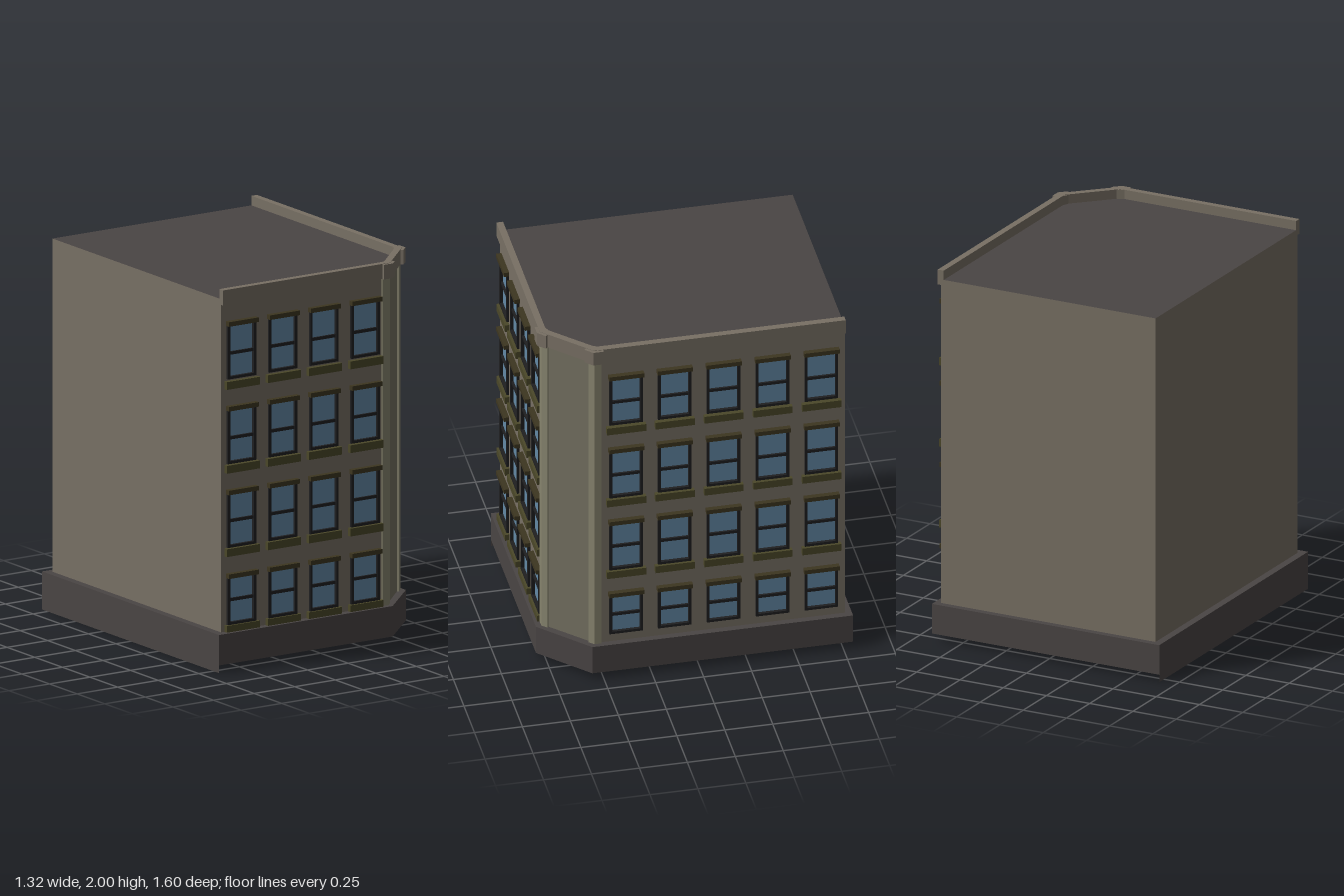
import * as THREE from 'three';

const mat = (name, color) => {
  const m = new THREE.MeshStandardMaterial({ color, side: THREE.DoubleSide });
  m.name = name;
  return m;
};

export function createModel() {
  const wallMat = mat('stone wall', 0x787064);
  const cornerMat = mat('corner panel', 0x737060);
  const trimMat = mat('pale trim', 0x88856f);
  const darkMat = mat('dark base and roof', 0x4a4544);
  const frameMat = mat('window frame', 0x1f1f20);
  const sillMat = mat('olive sill', 0x4b4829);
  const lintelMat = mat('brown lintel', 0x3d3620);
  const glassMat = mat('glass', 0x6389a6);

  const model = new THREE.Group();
  model.name = 'cornerBuilding';

  const add = (parent, name, geo, material) => {
    const mesh = new THREE.Mesh(geo, material);
    mesh.name = name;
    parent.add(mesh);
    return mesh;
  };

  // Plan helpers: points are [x, z]
  const planShape = pts => new THREE.Shape(pts.map(([x, z]) => new THREE.Vector2(x, -z)));
  const slab = (shape, y) => new THREE.ShapeGeometry(shape).rotateX(-Math.PI / 2).translate(0, y, 0);
  const prism = (pts, y0, y1) =>
    new THREE.ExtrudeGeometry(planShape(pts), { depth: y1 - y0, bevelEnabled: false })
      .rotateX(-Math.PI / 2).translate(0, y0, 0);
  // Upright sheet between two plan points
  const sheet = ([x0, z0], [x1, z1], y0, y1) => {
    const g = new THREE.PlaneGeometry(Math.hypot(x1 - x0, z1 - z0), y1 - y0);
    g.rotateY(Math.atan2(-(z1 - z0), x1 - x0));
    return g.translate((x0 + x1) / 2, (y0 + y1) / 2, (z0 + z1) / 2);
  };
  const rect = (Type, x0, y0, x1, y1) => {
    const p = new Type();
    p.moveTo(x0, y0);
    p.lineTo(x1, y0);
    p.lineTo(x1, y1);
    p.lineTo(x0, y1);
    p.closePath();
    return p;
  };

  const L = -0.62, R = 0.62, F = 0.76, B = -0.765, ROOF = 1.95, BASE = 0.2;
  const plan = [[L, F], [0.4, F], [R, 0.54], [R, B], [L, B]];
  const basePlan = [[-0.66, 0.8], [0.41, 0.8], [0.655, 0.56], [0.655, -0.8], [-0.66, -0.8]];

  // Base skirt, open below; the left side reaches lower
  basePlan.forEach((p, i) => {
    const q = basePlan[(i + 1) % 5];
    add(model, 'baseSide', sheet(p, q, i === 4 ? 0 : 0.04, BASE), darkMat);
  });
  const ledge = planShape(basePlan);
  ledge.holes.push(planShape(plan));
  add(model, 'baseLedge', slab(ledge, BASE), darkMat);

  // Plain walls, angled corner and roof
  add(model, 'cornerWall', sheet(plan[1], plan[2], BASE, ROOF), cornerMat);
  add(model, 'backWall', sheet(plan[3], plan[4], BASE, ROOF), wallMat);
  add(model, 'leftWall', sheet(plan[4], plan[0], BASE, ROOF), wallMat);
  add(model, 'roof', slab(planShape(plan), ROOF), darkMat);

  // Window rows: glass bottom, mid rail, top of lintel, sill bottom, sill top
  const rows = [
    [0.24, 0.365, 0.505, 0.2, 0.235],
    [0.645, 0.78, 0.945, 0.597, 0.638],
    [1.085, 1.215, 1.385, 1.035, 1.076],
    [1.53, 1.66, 1.83, 1.475, 1.516],
  ];

  // A wall facing local +z, pierced by windows
  const windowWall = (name, x0, x1, columns, groundSill) => {
    const group = new THREE.Group();
    group.name = name;
    const wall = rect(THREE.Shape, x0, BASE, x1, ROOF);
    const box = (part, x, ya, yb, w, z0, z1, material) =>
      add(group, part, new THREE.BoxGeometry(w, yb - ya, z1 - z0)
        .translate(x, (ya + yb) / 2, (z0 + z1) / 2), material);
    for (const x of columns) {
      rows.forEach(([bottom, mid, top, s0, s1], r) => {
        const sill = r > 0 || groundSill;
        const y0 = sill ? bottom - 0.005 : 0.25, y1 = top - 0.012, h = 0.087;
        wall.holes.push(rect(THREE.Path, x - h + 0.004, y0 + 0.004, x + h - 0.004, y1 - 0.004));
        // Frame with its opening
        const frame = rect(THREE.Shape, x - h, y0, x + h, y1);
        frame.holes.push(rect(THREE.Path, x - h + 0.014, y0 + 0.014, x + h - 0.014, y1 - 0.016));
        add(group, 'windowFrame', new THREE.ExtrudeGeometry(frame, { depth: 0.025, bevelEnabled: false })
          .translate(0, 0, -0.012), frameMat);
        box('windowRail', x, mid - 0.008, mid + 0.008, 2 * h - 0.02, -0.01, 0.007, frameMat);
        add(group, 'windowGlass', new THREE.PlaneGeometry(2 * h - 0.02, y1 - y0 - 0.02)
          .translate(x, (y0 + y1) / 2, -0.004), glassMat);
        box('windowLintel', x, top - 0.024, top, 0.184, 0, 0.028, lintelMat);
        if (sill) box('windowSill', x, s0, s1, 0.204, 0, 0.024, sillMat);
      });
    }
    add(group, 'piercedWall', new THREE.ShapeGeometry(wall), wallMat);
    model.add(group);
    return group;
  };

  windowWall('frontWall', L, 0.4, [-0.498, -0.245, 0.008, 0.263], true).position.z = F;
  const side = windowWall('rightWall', -0.54, -B, [-0.378, -0.125, 0.13, 0.385, 0.64], false);
  side.position.x = R;
  side.rotation.y = Math.PI / 2;

  // Cornice with parapet along the street sides
  add(model, 'cornice', prism([
    [L, 0.78], [0.408, 0.78], [0.64, 0.548], [0.64, B],
    [0.605, B], [0.605, 0.534], [0.394, 0.745], [L, 0.745],
  ], 1.92, 2), wallMat);

  // Pilasters folded around both edges of the angled corner, with capitals
  const fold = (t, w) => [
    [0.4 - w, F - 0.01], [0.4 - w, F + t], [0.4 + t * 0.41, F + t],
    [0.4 + w * 0.7 + t * 0.7, F - w * 0.7 + t * 0.7], [0.4 + w * 0.7 - 0.007, F - w * 0.7 - 0.007],
  ];
  // Mirror across the diagonal of the corner
  const swap = pts => pts.map(([x, z]) => [z - 0.14, x + 0.14]);
  for (const flip of [p => p, swap]) {
    add(model, 'pilaster', prism(flip(fold(0.011, 0.032)), BASE, 1.92), trimMat);
    add(model, 'pilasterCapital', prism(flip(fold(0.036, 0.04)), 1.921, 1.998), wallMat);
  }
  return model;
}
